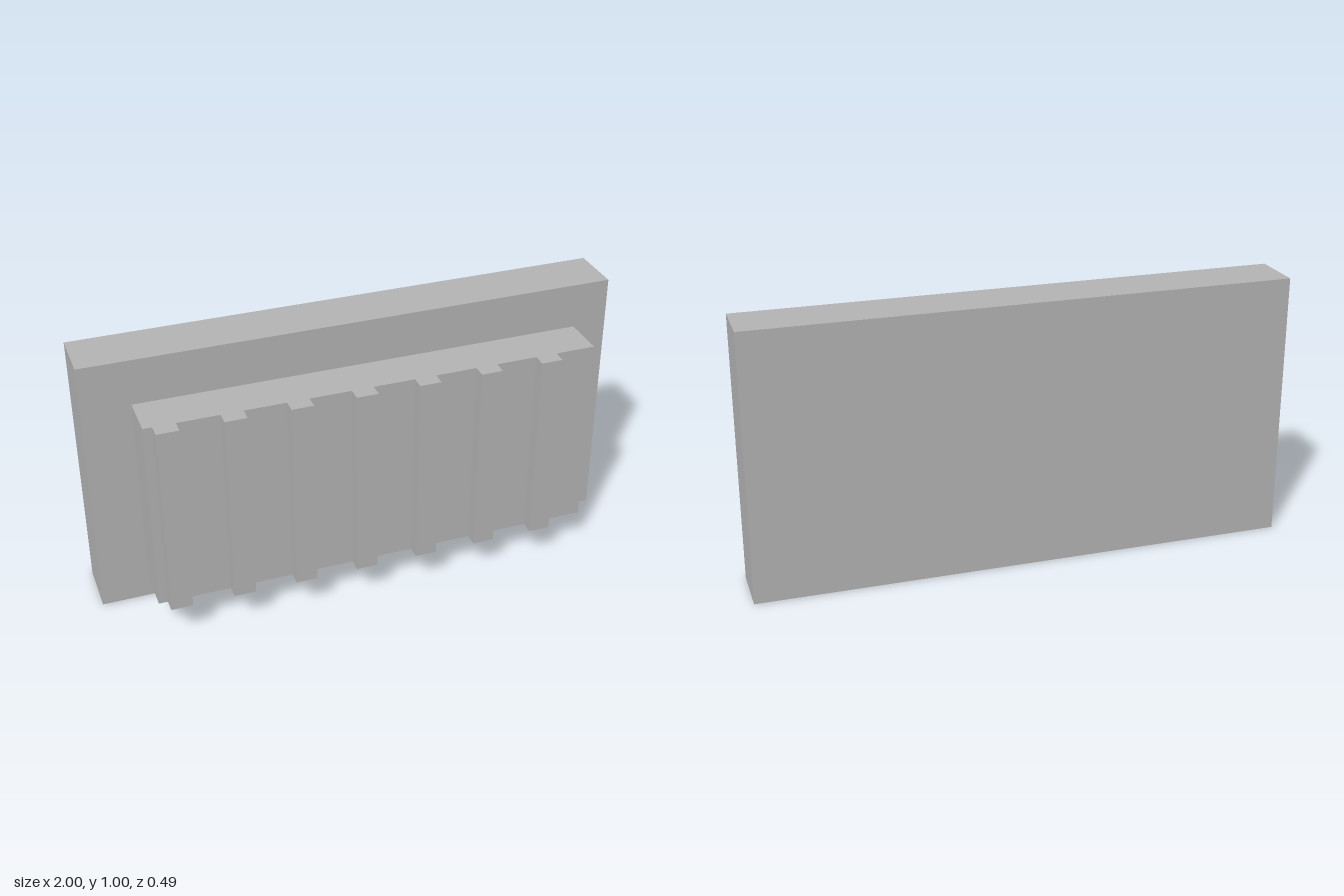
import * as THREE from 'three';

const RIBS = 7, PITCH = 0.2333, RIB_WIDTH = 0.08, FIRST_RIB = -0.8;
const LEFT = -0.833, RIGHT = 0.831;          // ribbed block ends in x
const BACK = 0.027, FACE = 0.193, RIB = 0.243; // ribbed block depths in z
const BOTTOM = 0.135, TOP = 0.868;

// Plan outline of the ribbed block, drawn as (x, -z)
function ribbedOutline() {
  const shape = new THREE.Shape();
  shape.moveTo(LEFT, -BACK);
  shape.lineTo(LEFT, -FACE);
  for (let i = 0; i < RIBS; i++) {
    const a = FIRST_RIB + i * PITCH, b = a + RIB_WIDTH;
    shape.lineTo(a, -FACE);
    shape.lineTo(a, -RIB);
    shape.lineTo(b, -RIB);
    shape.lineTo(b, -FACE);
  }
  shape.lineTo(RIGHT, -FACE);
  shape.lineTo(RIGHT, -BACK);
  shape.closePath();
  return shape;
}

export function createModel() {
  const group = new THREE.Group();
  const grey = new THREE.MeshStandardMaterial({ color: 0xb2b2b2 });
  grey.name = 'grey';

  // Plain slab behind
  const backPanel = new THREE.Mesh(new THREE.BoxGeometry(2, 1, 0.202), grey);
  backPanel.name = 'backPanel';
  backPanel.position.set(0, 0.5, -0.142);
  group.add(backPanel);

  // Ribbed block floating in front, extruded upwards
  const geometry = new THREE.ExtrudeGeometry(ribbedOutline(), { depth: TOP - BOTTOM, bevelEnabled: false });
  geometry.rotateX(-Math.PI / 2);
  const ribbedPanel = new THREE.Mesh(geometry, grey);
  ribbedPanel.name = 'ribbedPanel';
  ribbedPanel.position.y = BOTTOM;
  group.add(ribbedPanel);

  return group;
}
